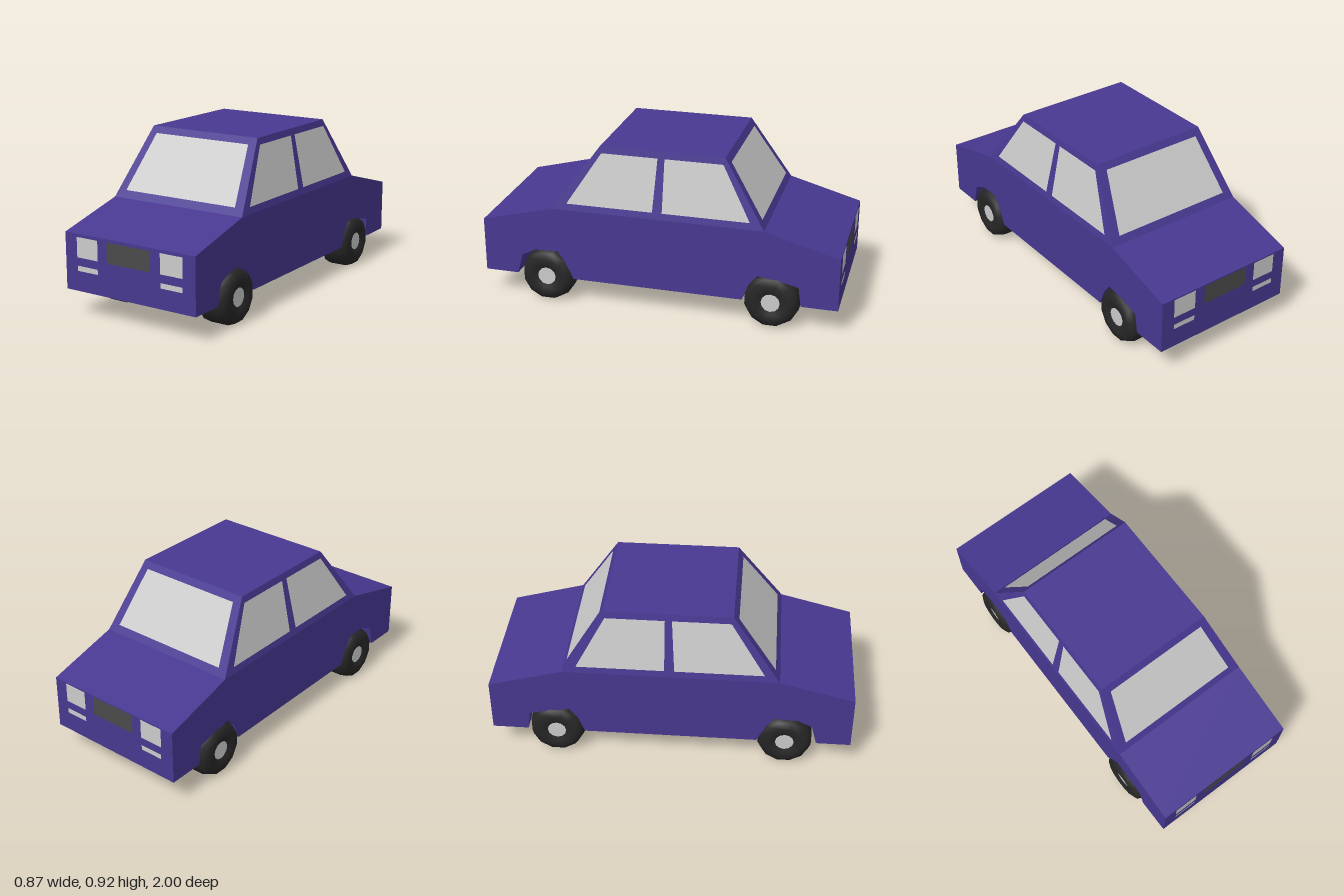
import * as THREE from 'three';
import { toCreasedNormals } from 'three/addons/utils/BufferGeometryUtils.js';

const paint = new THREE.MeshStandardMaterial({ color: 0x483891 });
const rubber = new THREE.MeshStandardMaterial({ color: 0x262626 });
const dark = new THREE.MeshStandardMaterial({ color: 0x4a4a4a, side: THREE.DoubleSide });
const glass = new THREE.MeshStandardMaterial({ color: 0xcccccc, side: THREE.DoubleSide });

const HALF = 0.415, BELT = 0.56, ROOF = 0.922;
const ROOF_HALF = 0.34, ROOF_FRONT = 0.33, ROOF_BACK = -0.36, CABIN_END = 0.59;
const LIFT = 0.002;

// Cabin surface positions at a given height
const rise = (y) => (y - BELT) / (ROOF - BELT);
const sideX = (y) => THREE.MathUtils.lerp(HALF, ROOF_HALF, rise(y));
const screenZ = (y, end) =>
  THREE.MathUtils.lerp(end * CABIN_END, end > 0 ? ROOF_FRONT : ROOF_BACK, rise(y));

function addMesh(parent, name, geometry, material) {
  const mesh = new THREE.Mesh(geometry, material);
  mesh.name = name;
  parent.add(mesh);
  return mesh;
}

// Flat four-cornered panel
function addPanel(parent, name, corners, material) {
  const geometry = new THREE.BufferGeometry();
  geometry.setAttribute('position', new THREE.Float32BufferAttribute(corners.flat(), 3));
  geometry.setIndex([0, 1, 2, 0, 2, 3]);
  geometry.computeVertexNormals();
  // Normals point away from the car centre
  const p = geometry.attributes.position, n = geometry.attributes.normal;
  if (p.getX(0) * n.getX(0) + p.getZ(0) * n.getZ(0) < 0) {
    geometry.setIndex([0, 2, 1, 0, 3, 2]);
    geometry.computeVertexNormals();
  }
  return addMesh(parent, name, geometry, material);
}

// Lower body: side profile with open wheel arches, extruded across the car
function lowerBodyGeometry() {
  const outline = [
    [1, 0.145], [1, 0.455], [CABIN_END, BELT], [-CABIN_END, BELT], [-1, 0.445], [-1, 0.145],
    [-0.8, 0.145], [-0.785, 0.255], [-0.7, 0.275], [-0.56, 0.298], [-0.515, 0.24], [-0.48, 0.145],
    [0.48, 0.145], [0.53, 0.25], [0.57, 0.305], [0.7, 0.3], [0.78, 0.26], [0.81, 0.145],
  ];
  const shape = new THREE.Shape(outline.map(([z, y]) => new THREE.Vector2(-z, y)));
  const geometry = new THREE.ExtrudeGeometry(shape, { depth: HALF * 2, bevelEnabled: false });
  return geometry.translate(0, 0, -HALF).rotateY(Math.PI / 2);
}

// Cabin: a box drawn in towards the roof
function cabinGeometry() {
  const geometry = new THREE.BoxGeometry(2, 2, 2);
  const p = geometry.attributes.position;
  for (let i = 0; i < p.count; i++) {
    const y = p.getY(i) > 0 ? ROOF : BELT;
    p.setXYZ(i, p.getX(i) * sideX(y), y, screenZ(y, p.getZ(i)));
  }
  geometry.computeVertexNormals();
  return geometry;
}

// Twelve-sided wheel with a rounded outer shoulder and a dished hub
function makeWheel() {
  const wheel = new THREE.Group();
  const profile = [
    [0, 0.28], [0.154, 0.28], [0.154, 0.385], [0.139, 0.423],
    [0.105, 0.437], [0.07, 0.434], [0.05, 0.422], [0, 0.422],
  ].map(([r, x]) => new THREE.Vector2(r, x));
  const tyre = new THREE.LatheGeometry(profile, 12, Math.PI / 12);
  tyre.rotateZ(-Math.PI / 2);
  addMesh(wheel, 'tyre', toCreasedNormals(tyre, 0.9), rubber);
  const hub = new THREE.CircleGeometry(0.052, 12).rotateY(Math.PI / 2);
  addMesh(wheel, 'hubcap', hub, glass).position.x = 0.424;
  return wheel;
}

export function createModel() {
  const car = new THREE.Group();
  car.name = 'car';
  addMesh(car, 'lowerBody', lowerBodyGeometry(), paint);
  addMesh(car, 'cabin', cabinGeometry(), paint);

  const low = 0.597, high = 0.886;

  // Windscreen, rear window and the lights and grille at each end
  for (const end of [1, -1]) {
    const side = end > 0 ? 'front' : 'rear';
    const onScreen = (x, y) => [x, y + LIFT, screenZ(y, end) + end * LIFT];
    addPanel(car, end > 0 ? 'windscreen' : 'rearWindow', [
      onScreen(-0.355, low), onScreen(0.355, low), onScreen(0.3, high), onScreen(-0.3, high),
    ], glass);

    const endPanel = (name, x0, x1, y0, y1, material) => {
      const z = end * (1 + LIFT / 2);
      addPanel(car, name, [[x0, y0, z], [x1, y0, z], [x1, y1, z], [x0, y1, z]], material);
    };
    endPanel(side + 'Grille', -0.14, 0.138, 0.327, 0.438, dark);
    for (const s of [1, -1]) {
      endPanel(side + 'Light', s * 0.2, s * 0.338, 0.328, 0.438, glass);
      endPanel(side + 'LowerLamp', s * 0.202, s * 0.336, 0.255, 0.283, glass);
    }
  }

  // Side windows and wheels on both sides
  for (const s of [1, -1]) {
    const onSide = (z, y) => [s * (sideX(y) + LIFT), y, z];
    addPanel(car, 'frontSideWindow', [
      onSide(0.508, low), onSide(0.022, low), onSide(0.006, high), onSide(0.32, high),
    ], glass);
    addPanel(car, 'rearSideWindow', [
      onSide(-0.032, low), onSide(-0.512, low), onSide(-0.352, high), onSide(-0.032, high),
    ], glass);

    for (const z of [0.635, -0.637]) {
      const wheel = makeWheel();
      wheel.name = z > 0 ? 'frontWheel' : 'rearWheel';
      wheel.position.set(0, 0.149, z);
      if (s < 0) wheel.rotation.y = Math.PI;
      car.add(wheel);
    }
  }
  return car;
}
